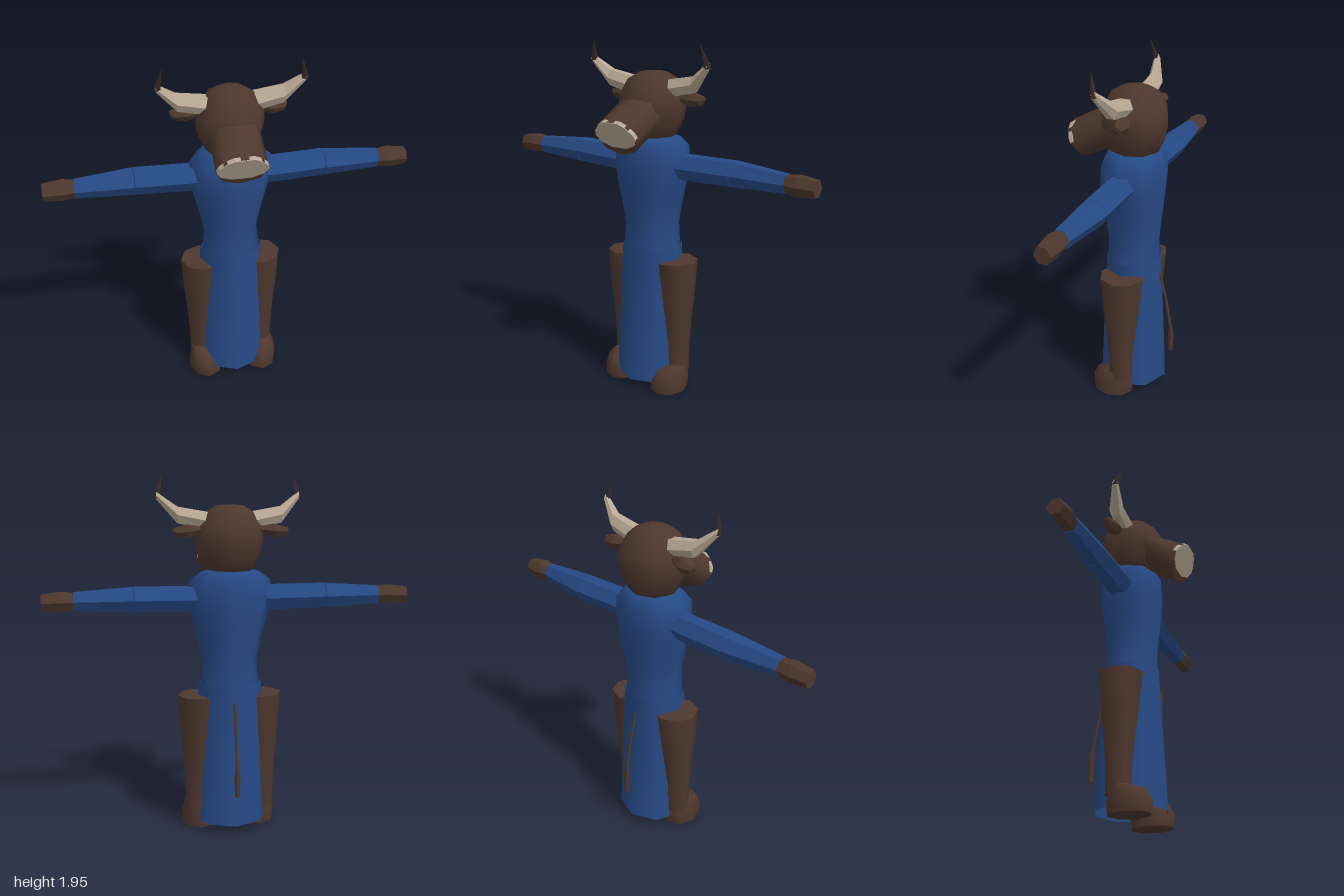
import * as THREE from 'three';

const X = new THREE.Vector3(1, 0, 0), Y = new THREE.Vector3(0, 1, 0), Z = new THREE.Vector3(0, 0, 1);
const UP = [X, Z];                          // cross-section axes for parts running along +y
const SIDE = [Y.clone().negate(), Z];       // cross-section axes for parts running along +x

// Skin over rings: each section is [x, y, z, radiusU, radiusV]
function loft(sections, sides, [u, v], { flat = false, mirror = false, caps = true } = {}) {
  const pos = [], idx = [], sx = mirror ? -1 : 1;
  const tri = (a, b, c) => (mirror ? idx.push(a, c, b) : idx.push(a, b, c));
  const ring = ([x, y, z, ru, rv]) => {
    const start = pos.length / 3;
    for (let i = 0; i < sides; i++) {
      const t = (i / sides) * Math.PI * 2, p = new THREE.Vector3(x, y, z);
      p.addScaledVector(u, ru * Math.sin(t)).addScaledVector(v, rv * Math.cos(t));
      pos.push(p.x * sx, p.y, p.z);
    }
    return start;
  };
  const starts = sections.map(ring);
  for (let s = 0; s + 1 < starts.length; s++) {
    for (let i = 0; i < sides; i++) {
      const j = (i + 1) % sides, a = starts[s], b = starts[s + 1];
      tri(a + i, a + j, b + j);
      tri(a + i, b + j, b + i);
    }
  }
  // End caps use their own corners, so their rims stay sharp
  if (caps) {
    const a = ring(sections[0]), b = ring(sections[sections.length - 1]);
    for (let i = 1; i + 1 < sides; i++) {
      tri(a, a + i + 1, a + i);
      tri(b, b + i, b + i + 1);
    }
  }
  let geo = new THREE.BufferGeometry();
  geo.setAttribute('position', new THREE.Float32BufferAttribute(pos, 3));
  geo.setIndex(idx);
  if (flat) geo = geo.toNonIndexed();
  geo.computeVertexNormals();
  return geo;
}

export function createModel() {
  const model = new THREE.Group();
  model.name = 'hornedFigure';
  const colour = (name, color) => Object.assign(new THREE.MeshStandardMaterial({ color }), { name });
  const hide = colour('brown hide', 0x4e382e);
  const cloth = colour('blue cloth', 0x264a86);
  cloth.side = THREE.DoubleSide;
  const horn = colour('pale horn', 0xb8a995);
  const dark = colour('dark horn tip', 0x332726);
  const add = (name, geo, mat, parent = model) => {
    const mesh = new THREE.Mesh(geo, mat);
    mesh.name = name;
    parent.add(mesh);
    return mesh;
  };
  const pair = (name, sections, sides, axes, mat, flat = false) => {
    add(name + 'Left', loft(sections, sides, axes, { flat }), mat);
    add(name + 'Right', loft(sections, sides, axes, { flat, mirror: true }), mat);
  };
  const C = -0.055; // depth of the body's centre line

  // Torso and open-bottomed robe
  add('torso', loft([
    [0, 0.8, C, 0.165, 0.15], [0, 0.95, C, 0.15, 0.15], [0, 1.08, C, 0.178, 0.163],
    [0, 1.2, C, 0.21, 0.174], [0, 1.29, C, 0.228, 0.18], [0, 1.39, C, 0.222, 0.172],
    [0, 1.435, C, 0.16, 0.145], [0, 1.455, C, 0.1, 0.1],
  ], 8, UP), cloth);
  add('robe', loft([
    [0, 0.05, C, 0.205, 0.2], [0, 0.4, C, 0.192, 0.18], [0, 0.83, C, 0.176, 0.155],
  ], 8, UP, { caps: false }), cloth);

  // Legs and feet
  pair('leg', [
    [0.18, 0.1, C, 0.07, 0.07], [0.18, 0.25, C, 0.072, 0.072], [0.175, 0.4, C, 0.086, 0.086],
    [0.17, 0.55, C, 0.105, 0.105], [0.163, 0.76, C, 0.125, 0.125],
  ], 8, UP, hide);
  pair('foot', [
    [0.167, 0, 0, 0.095, 0.118], [0.167, 0.06, 0, 0.1, 0.125],
    [0.17, 0.125, -0.01, 0.085, 0.105], [0.175, 0.148, -0.04, 0.065, 0.06],
  ], 8, UP, hide);

  // Sleeves in two lengths, then hands
  pair('upperSleeve', [
    [0.12, 1.293, -0.06, 0.072, 0.073], [0.25, 1.293, -0.06, 0.075, 0.075],
    [0.52, 1.297, -0.07, 0.073, 0.076],
  ], 6, SIDE, cloth, true);
  pair('lowerSleeve', [
    [0.523, 1.297, -0.07, 0.073, 0.076], [0.835, 1.293, -0.06, 0.054, 0.048],
  ], 6, SIDE, cloth, true);
  pair('hand', [
    [0.82, 1.293, -0.06, 0.047, 0.045], [0.9, 1.293, -0.06, 0.058, 0.056], [1, 1.29, -0.06, 0.048, 0.046],
  ], 6, SIDE, hide, true);

  // Rounded head
  add('head', loft([
    [0, 1.425, C, 0.09, 0.09], [0, 1.45, C, 0.135, 0.135], [0, 1.53, C, 0.172, 0.172],
    [0, 1.6, C, 0.185, 0.185], [0, 1.67, C, 0.18, 0.18], [0, 1.75, C, 0.135, 0.135],
    [0, 1.785, C, 0.075, 0.075], [0, 1.79, C, 0.02, 0.02],
  ], 8, UP), hide);

  // Muzzle with a pale nose pad, tilted downwards
  const muzzle = new THREE.Group();
  muzzle.name = 'muzzle';
  muzzle.position.set(0, 1.467, 0.253);
  muzzle.rotation.x = 0.49;
  model.add(muzzle);
  add('snout', loft([
    [0, 0, -0.27, 0.137, 0.107], [0, 0, 0, 0.137, 0.107],
  ], 8, [X.clone().negate(), Y]), hide, muzzle);
  const half = [[0.052, 0.1], [0.09, 0.077], [0.125, 0.04], [0.135, 0.01], [0.112, -0.03], [0.05, -0.058]];
  const outline = [...half, ...half.map(([x, y]) => [-x, y]).reverse()];
  const padShape = new THREE.Shape(outline.map(([x, y]) => new THREE.Vector2(x, y)));
  const pad = new THREE.ExtrudeGeometry(padShape, { depth: 0.024, bevelEnabled: false });
  add('nosePad', pad.translate(0, 0, -0.02), horn, muzzle);

  // Horns, dark tips and ears
  pair('horn', [
    [0.12, 1.705, C, 0.055, 0.053], [0.28, 1.737, -0.047, 0.05, 0.043], [0.387, 1.838, -0.012, 0.022, 0.018],
  ], 6, SIDE, horn, true);
  pair('hornTip', [
    [0.381, 1.825, -0.012, 0.021, 0.018], [0.375, 1.86, -0.005, 0.016, 0.015], [0.355, 1.945, 0.017, 0.001, 0.001],
  ], 6, UP, dark, true);
  pair('ear', [
    [0.15, 1.66, -0.075, 0.018, 0.022], [0.235, 1.652, -0.088, 0.042, 0.045],
    [0.295, 1.648, -0.092, 0.028, 0.03], [0.312, 1.66, -0.092, 0.01, 0.012],
  ], 6, SIDE, hide, true);

  // Tail with a thicker tuft
  add('tail', loft([
    [0, 0.39, -0.285, 0.01, 0.01], [0, 0.58, -0.25, 0.009, 0.009], [0, 0.77, -0.2, 0.008, 0.008],
  ], 6, UP), hide);
  add('tailTuft', loft([
    [0, 0.235, -0.288, 0.012, 0.014], [0, 0.34, -0.288, 0.017, 0.017], [0, 0.41, -0.283, 0.01, 0.01],
  ], 6, UP), hide);

  return model;
}
